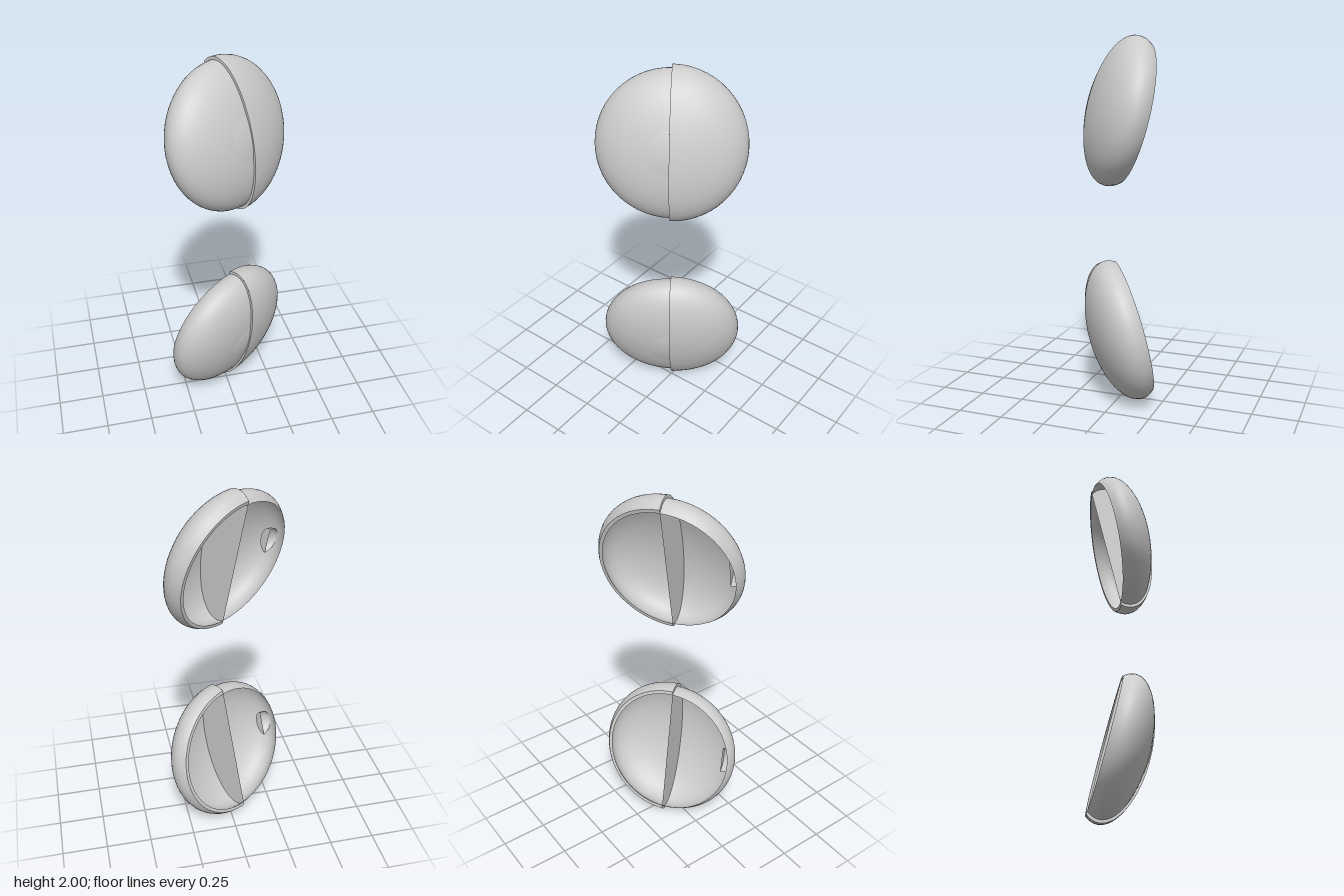
import * as THREE from 'three';

const material = new THREE.MeshStandardMaterial({ color: 0xcccccc, side: THREE.DoubleSide });

const YAW = 0.573, PITCH = 0.235;
// Flattened spheres (radius r, depth d) cut open by a plane c behind the middle
const INNER = { r: 0.388, d: 0.174, c: 0.063 };
const OUTER = { r: 0.405, d: 0.186, c: 0.063 };
const POCKET = { r: 0.076, d: 0.048, c: 0 };

const cutAngle = ({ d, c }) => Math.acos(-c / d);
const cutRadius = (size) => size.r * Math.sin(cutAngle(size));

function part(name, geometry) {
  const mesh = new THREE.Mesh(geometry, material);
  mesh.name = name;
  return mesh;
}

// Dome around +z; maxAngle is measured from the pole
function dome({ r, d }, maxAngle, start, length, segments, steps) {
  const points = [];
  for (let i = 0; i <= steps; i++) {
    const a = maxAngle * (1 - i / steps);
    points.push(new THREE.Vector2(i === steps ? 0 : r * Math.sin(a), d * Math.cos(a)));
  }
  return new THREE.LatheGeometry(points, segments, start, length).rotateX(Math.PI / 2);
}

// Cross-section in the x = 0 plane, optionally hollowed by a smaller one
function section(outer, inner) {
  const shape = new THREE.Shape();
  const a = cutAngle(outer);
  shape.absellipse(0, 0, outer.d, outer.r, -a, a, false);
  if (inner) {
    const b = cutAngle(inner);
    shape.absellipse(0, 0, inner.d, inner.r, b, -b, true);
  }
  shape.closePath();
  return new THREE.ShapeGeometry(shape, 32).rotateY(-Math.PI / 2);
}

// Half shell closed by a flat wall on its straight side
function walledHalf(name, size) {
  const group = new THREE.Group();
  group.name = name;
  group.add(
    part(name + 'Dome', dome(size, cutAngle(size), Math.PI, Math.PI, 28, 20)),
    part(name + 'Wall', section(size)),
  );
  return group;
}

function createPod(name) {
  const pod = new THREE.Group();
  pod.name = name;

  // Smaller half with its dividing wall
  pod.add(walledHalf('innerHalf', INNER));

  // Larger half: a thick shell that steps over the smaller one
  const cover = new THREE.Group();
  cover.name = 'coverHalf';
  const backEdge = new THREE.RingGeometry(cutRadius(INNER), cutRadius(OUTER), 28, 1, Math.PI / 2, Math.PI);
  cover.add(
    part('coverOutside', dome(OUTER, cutAngle(OUTER), 0, Math.PI, 28, 20)),
    part('coverInside', dome(INNER, cutAngle(INNER), 0, Math.PI, 28, 20)),
    part('coverFrontEdge', section(OUTER, INNER)),
    part('coverBackEdge', backEdge.rotateY(Math.PI).translate(0, 0, -OUTER.c)),
  );
  cover.scale.x = 0.965;
  pod.add(cover);

  // Round disc bulging slightly through the dome at its pole
  pod.add(part('centreDisc', dome({ r: 0.309, d: 0.179 }, 0.39, 0, Math.PI * 2, 40, 6)));

  // Small walled pocket inside the edge
  const pocket = walledHalf('edgePocket', POCKET);
  pocket.position.x = -0.311;
  pod.add(pocket);
  return pod;
}

export function createModel() {
  const model = new THREE.Group();
  model.name = 'domePair';
  // Upper pod tilts up, lower pod mirrors it downward
  for (const side of [1, -1]) {
    const pod = createPod(side > 0 ? 'upperPod' : 'lowerPod');
    pod.rotation.set(-side * PITCH, YAW, 0, 'YXZ');
    pod.position.y = 1 + side * 0.604;
    model.add(pod);
  }
  return model;
}
